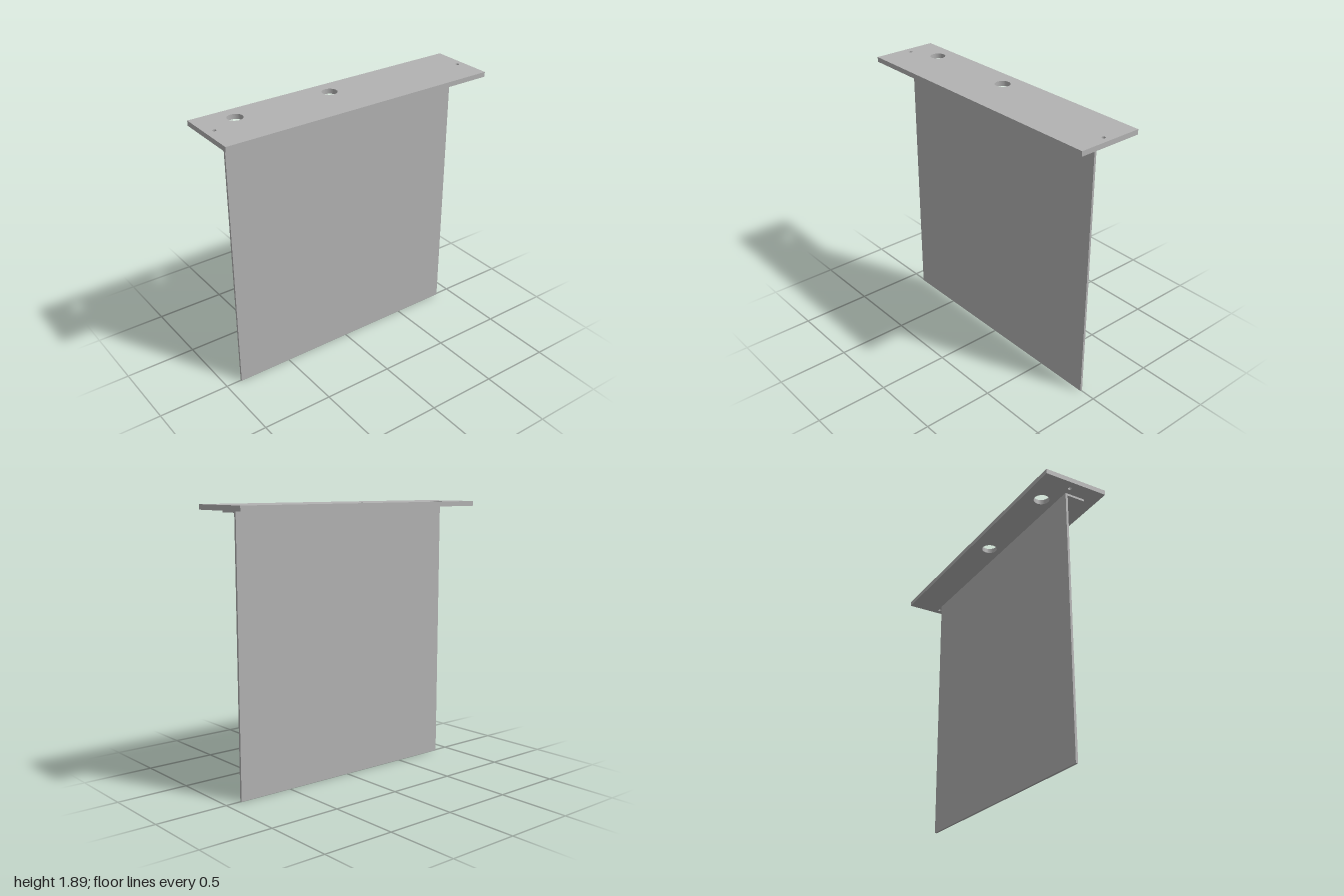
import * as THREE from 'three';

const PLATE = { w: 0.458, l: 2, bottom: 1.858, h: 0.034 };
const SHEET = { t: 0.016, l: 1.776, lip: 0.14 };

// Extruded outline, flat-sided with hard edges
function extrude(shape, depth) {
  return new THREE.ExtrudeGeometry(shape, { depth, bevelEnabled: false, curveSegments: 32 });
}

export function createModel() {
  const group = new THREE.Group();
  group.name = 'hangingPanelBracket';
  const steel = new THREE.MeshStandardMaterial({ color: 0xb2b2b2 });
  steel.name = 'plain grey';

  // Top plate with two large holes and a small screw hole near each end
  const w = PLATE.w / 2, l = PLATE.l / 2;
  const outline = new THREE.Shape([
    new THREE.Vector2(-w, -l), new THREE.Vector2(w, -l),
    new THREE.Vector2(w, l), new THREE.Vector2(-w, l),
  ]);
  const holes = [ // x, z, radius
    [-0.1, 0.05, 0.052],
    [-0.102, 0.745, 0.052],
    [0.008, -0.95, 0.013],
    [-0.008, 0.94, 0.013],
  ];
  for (const [x, z, r] of holes) {
    const hole = new THREE.Path();
    hole.absarc(x, -z, r, 0, Math.PI * 2, true);
    outline.holes.push(hole);
  }
  const plateGeometry = extrude(outline, PLATE.h);
  plateGeometry.rotateX(-Math.PI / 2).translate(0, PLATE.bottom, 0);
  const plate = new THREE.Mesh(plateGeometry, steel);
  plate.name = 'topPlate';
  group.add(plate);

  // Thin hanging sheet with its top edge folded into a lip under the plate
  const t = SHEET.t / 2, top = PLATE.bottom;
  const section = new THREE.Shape([
    new THREE.Vector2(-t, 0), new THREE.Vector2(t, 0),
    new THREE.Vector2(t, top - SHEET.t), new THREE.Vector2(SHEET.lip, top - SHEET.t),
    new THREE.Vector2(SHEET.lip, top), new THREE.Vector2(-t, top),
  ]);
  const sheetGeometry = extrude(section, SHEET.l);
  sheetGeometry.translate(0, 0, -SHEET.l / 2);
  const sheet = new THREE.Mesh(sheetGeometry, steel);
  sheet.name = 'foldedSheet';
  group.add(sheet);

  return group;
}
